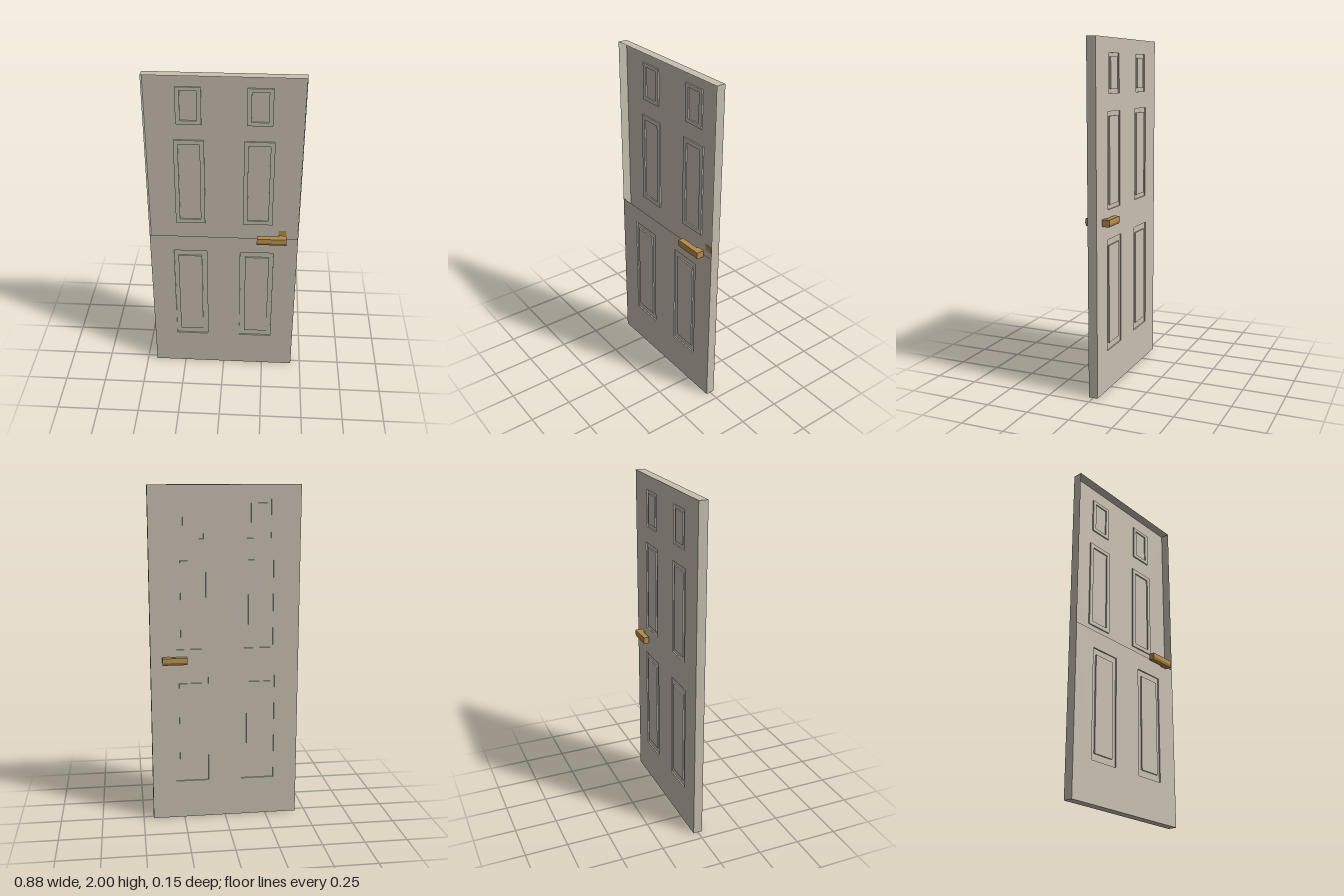
import * as THREE from 'three';

const W = 0.44, H = 2, Z = 0.027, SPLIT = 0.99, DEPTH = 0.008;

// Rectangles [x0, y0, x1, y1, z] joined loop to loop with flat quads
function loftRects(rects) {
  const pos = [];
  const corner = ([x0, y0, x1, y1, z], i) =>
    [[x0, y0, z], [x1, y0, z], [x1, y1, z], [x0, y1, z]][i % 4];
  for (let r = 0; r < rects.length - 1; r++) {
    for (let i = 0; i < 4; i++) {
      const a = corner(rects[r], i), b = corner(rects[r], i + 1);
      const c = corner(rects[r + 1], i + 1), d = corner(rects[r + 1], i);
      pos.push(...a, ...b, ...c, ...a, ...c, ...d);
    }
  }
  const g = new THREE.BufferGeometry();
  g.setAttribute('position', new THREE.Float32BufferAttribute(pos, 3));
  g.computeVertexNormals();
  return g;
}

function rectPath(Type, x0, y0, x1, y1) {
  return new Type([[x0, y0], [x1, y0], [x1, y1], [x0, y1]].map(p => new THREE.Vector2(...p)));
}

// Panel rows for x > 0: outer and inner rectangles of the groove
const lowerRow = { outer: [0.10, 0.235, 0.298, 0.885], inner: [0.13, 0.275, 0.273, 0.848] };
const middleRow = { outer: [0.112, 1.055, 0.285, 1.6], inner: [0.137, 1.08, 0.26, 1.575] };
const topRow = { outer: [0.125, 1.698, 0.268, 1.917], inner: [0.15, 1.72, 0.243, 1.897] };
const flip = ([x0, y0, x1, y1]) => [-x1, y0, -x0, y1];

// A flat sheet with grooved panels, facing +z
function doorFace(name, height, rows, material) {
  const face = new THREE.Group();
  face.name = name;
  const add = (geometry, part) => {
    const m = new THREE.Mesh(geometry, material);
    m.name = part;
    face.add(m);
    return m;
  };
  const sheet = rectPath(THREE.Shape, -W, 0, W, height);
  for (const { outer, inner } of rows) {
    for (const side of [r => r, flip]) {
      const o = side(outer), n = side(inner);
      sheet.holes.push(rectPath(THREE.Path, ...o));
      add(loftRects([[...o, 0], [...o, -DEPTH], [...n, -DEPTH], [...n, 0]]), 'panelGroove');
      add(new THREE.ShapeGeometry(rectPath(THREE.Shape, ...n)), 'panelField');
    }
  }
  add(new THREE.ShapeGeometry(sheet), 'faceSheet');
  return face;
}

// Lever handle standing off the +z face, reaching from x0 to x1
function leverHandle(name, x0, x1, stem0, stem1, material) {
  const handle = new THREE.Group();
  handle.name = name;
  const section = [[0.038, 0.974], [0.038, 1.014], [0.0715, 1.014], [0.0745, 0.988], [0.068, 0.972]];
  const shape = new THREE.Shape(section.map(([z, y]) => new THREE.Vector2(-z, y)));
  const grip = new THREE.Mesh(
    new THREE.ExtrudeGeometry(shape, { depth: x1 - x0, bevelEnabled: false }), material);
  grip.name = 'grip';
  grip.rotation.y = Math.PI / 2;
  grip.position.x = x0;
  const stem = new THREE.Mesh(new THREE.BoxGeometry(stem1 - stem0, 0.038, 0.016), material);
  stem.name = 'stem';
  stem.position.set((stem0 + stem1) / 2, 0.994, 0.033);
  handle.add(grip, stem);
  return handle;
}

export function createModel() {
  const paint = new THREE.MeshStandardMaterial({ color: 0xc8bfb1, side: THREE.DoubleSide });
  paint.name = 'beige paint';
  const brass = new THREE.MeshStandardMaterial({ color: 0xb48c4c });
  brass.name = 'brass';

  const model = new THREE.Group();
  model.name = 'door';

  // Outer edges of the slab
  const rim = new THREE.Mesh(loftRects([[-W, 0, W, H, Z], [-W, 0, W, H, -Z]]), paint);
  rim.name = 'slabEdges';
  model.add(rim);

  // Front covers the lower half only; the open upper half shows the back sheet
  const front = doorFace('frontLowerFace', SPLIT, [lowerRow], paint);
  front.position.z = Z;
  const back = doorFace('backFace', H, [lowerRow, middleRow, topRow], paint);
  back.rotation.y = Math.PI;
  back.position.z = -Z;
  model.add(front, back);

  // Handles on both sides
  const frontHandle = leverHandle('frontHandle', 0.197, 0.371, 0.325, 0.371, brass);
  const backHandle = leverHandle('backHandle', -0.371, -0.226, -0.371, -0.325, brass);
  backHandle.rotation.y = Math.PI;
  model.add(frontHandle, backHandle);
  return model;
}
